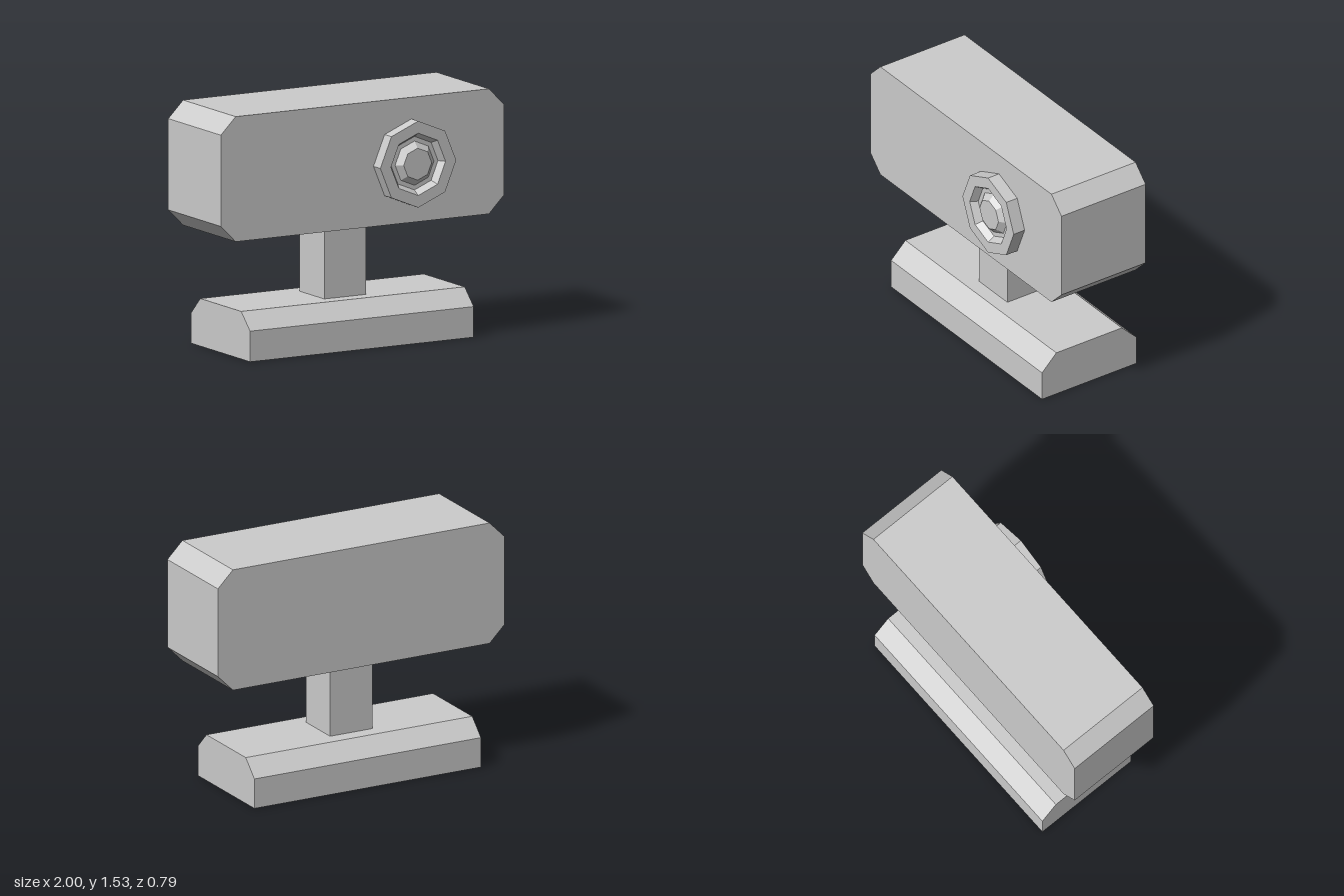
import * as THREE from 'three';

const material = new THREE.MeshStandardMaterial({ color: 0xcccccc, flatShading: true });

// Prism from a 2D outline, extruded along z and centred on it
function prism(name, points, depth) {
  const shape = new THREE.Shape(points.map(([x, y]) => new THREE.Vector2(x, y)));
  const geometry = new THREE.ExtrudeGeometry(shape, { depth, bevelEnabled: false });
  geometry.translate(0, 0, -depth / 2);
  const mesh = new THREE.Mesh(geometry, material);
  mesh.name = name;
  return mesh;
}

export function createModel() {
  const group = new THREE.Group();
  group.name = 'webcam';

  // Wide housing with four cut corners
  const w = 1, bottom = 0.755, top = 1.53, c = 0.105;
  group.add(prism('housing', [
    [-w + c, bottom], [w - c, bottom], [w, bottom + c], [w, top - c],
    [w - c, top], [-w + c, top], [-w, top - c], [-w, bottom + c],
  ], 0.63));

  // Octagonal lens: raised rim, recessed ring and raised centre
  const profile = [
    [0.268, 0], [0.268, 0.085], [0.193, 0.085], [0.166, 0.04],
    [0.137, 0.04], [0.099, 0.078], [0, 0.078],
  ].map(([r, y]) => new THREE.Vector2(r, y));
  const lens = new THREE.Mesh(new THREE.LatheGeometry(profile, 8), material);
  lens.name = 'lens';
  lens.rotation.x = Math.PI / 2;
  lens.position.set(0.347, 1.128, 0.312);
  group.add(lens);

  // Square post
  const post = new THREE.Mesh(new THREE.BoxGeometry(0.295, 0.46, 0.3), material);
  post.name = 'post';
  post.position.set(0, 0.525, -0.04);
  group.add(post);

  // Base with sloped front and back top edges; outline runs along z
  const base = prism('base', [
    [-0.31, 0], [0.395, 0], [0.395, 0.19], [0.287, 0.295], [-0.203, 0.295], [-0.31, 0.19],
  ], 1.58);
  base.rotation.y = Math.PI / 2;
  group.add(base);

  return group;
}
